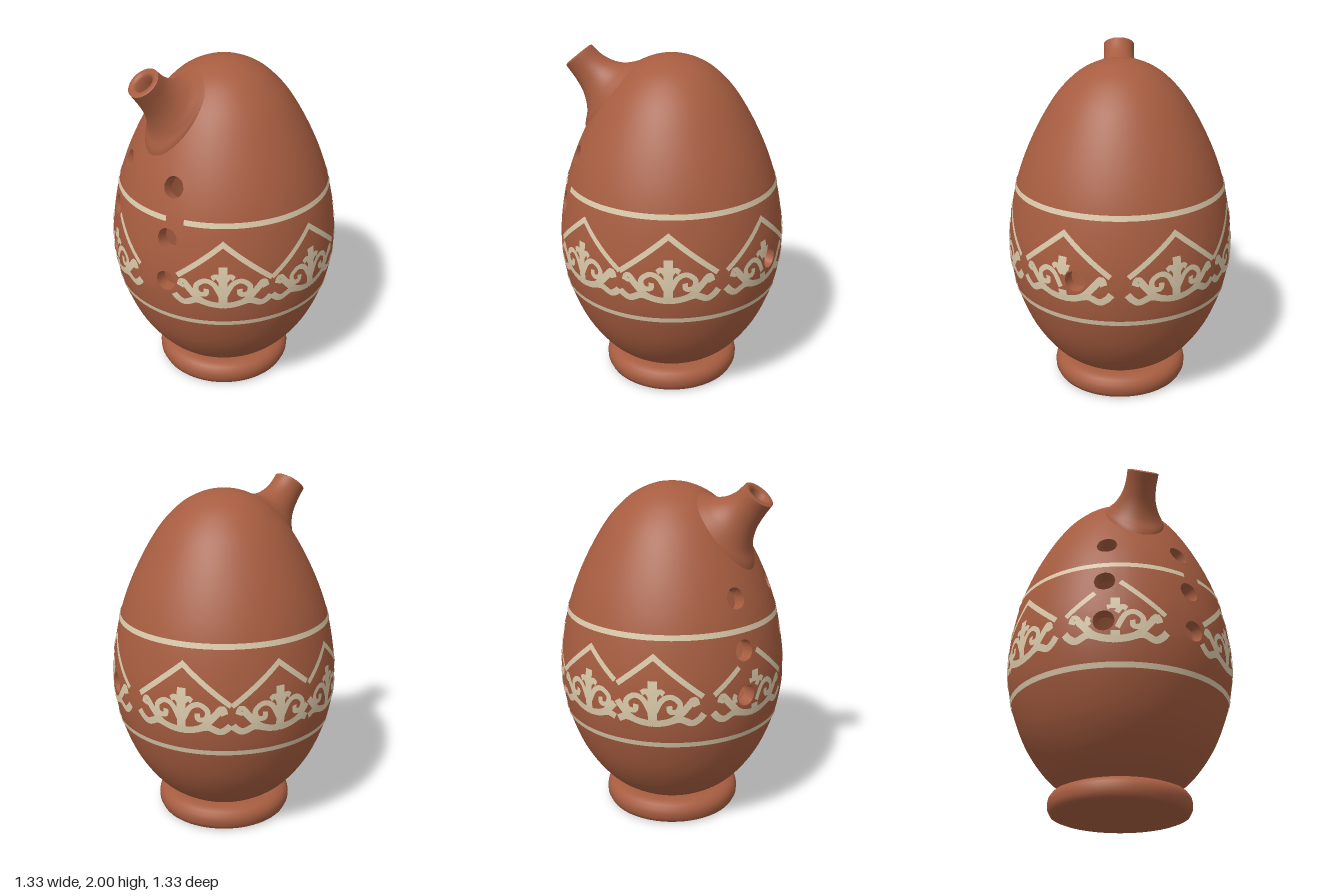
import * as THREE from 'three';

const clay = new THREE.MeshStandardMaterial({ color: 0xa75d40, side: THREE.DoubleSide });
clay.name = 'terracotta clay';
const cream = new THREE.MeshStandardMaterial({ color: 0xdccbab, side: THREE.DoubleSide });
cream.name = 'cream paint';

const COLS = 144, ROWS = 80, STEP = (2 * Math.PI) / COLS, WALL = 0.07, HOLE_R = 0.06;

// Egg outline as (radius, height), bottom to top
const outline = new THREE.SplineCurve([
  [0, 0.05], [0.15, 0.07], [0.29, 0.13], [0.42, 0.23], [0.54, 0.4], [0.62, 0.6], [0.653, 0.76],
  [0.66, 0.88], [0.65, 1.03], [0.61, 1.24], [0.55, 1.42], [0.465, 1.6], [0.37, 1.755],
  [0.28, 1.855], [0.2, 1.915], [0.1, 1.957], [0, 1.97],
].map(([r, y]) => new THREE.Vector2(r, y)));
const ROW_H = outline.getLength() / ROWS;

// Point on the egg at a fractional column and row, moved inward by inset
function eggPoint(col, row, inset = 0) {
  const t = THREE.MathUtils.clamp(row / ROWS, 0, 1);
  const p = outline.getPointAt(t), d = outline.getTangentAt(t);
  const r = Math.max(0, p.x - d.y * inset), a = col * STEP;
  return new THREE.Vector3(r * Math.cos(a), p.y + d.x * inset, r * Math.sin(a));
}

function rowAt(y) {
  let lo = 0, hi = 1;
  for (let k = 0; k < 22; k++) {
    const mid = (lo + hi) / 2;
    if (outline.getPointAt(mid).y < y) lo = mid; else hi = mid;
  }
  return lo * ROWS;
}

// Finger holes: two columns of three beside the mouthpiece, one on the far side
const holes = [[9, 0.87]];
for (const col of [63, 81]) for (const y of [0.87, 1.15, 1.42]) holes.push([col, y]);
const holeCells = holes.map(([col, y]) => {
  const row = Math.round(rowAt(y)), p = outline.getPointAt(row / ROWS);
  return { col, row, y: p.y, r: p.x, w: p.x * STEP };
});

// Grid vertices near a hole slide onto its round rim
function warp(i, j) {
  for (const h of holeCells) {
    const di = i - h.col, dj = j - h.row, k = Math.max(Math.abs(di), Math.abs(dj));
    if (k < 2 || k > 3) continue;
    const f = (4 - k) / 2, s = HOLE_R / Math.hypot(di * h.w, dj * ROW_H);
    const m = 1 + (s - 1) * f;
    return [h.col + di * m, h.row + dj * m];
  }
  return [i, j];
}
const isSolid = (i, j) => !holeCells.some(h =>
  i >= h.col - 2 && i < h.col + 2 && j >= h.row - 2 && j < h.row + 2);

// Closed-loop grid surface from a point rule
function gridGeometry(point, cols, rows, keep = () => true, flip = false) {
  const pos = [], idx = [];
  for (let j = 0; j <= rows; j++) for (let i = 0; i < cols; i++) pos.push(...point(i, j).toArray());
  for (let j = 0; j < rows; j++) for (let i = 0; i < cols; i++) {
    if (!keep(i, j)) continue;
    const n = (i + 1) % cols, a = j * cols + i, b = a + cols, c = j * cols + n, d = c + cols;
    if (flip) idx.push(a, c, b, c, d, b); else idx.push(a, b, c, c, b, d);
  }
  return finish(pos, idx);
}

function finish(pos, idx) {
  const g = new THREE.BufferGeometry();
  g.setAttribute('position', new THREE.Float32BufferAttribute(pos, 3));
  g.setIndex(idx);
  g.computeVertexNormals();
  return g;
}

function add(parent, name, geometry, material) {
  const m = new THREE.Mesh(geometry, material);
  m.name = name;
  parent.add(m);
  return m;
}

// Painted strip laid on the egg; points are (arc from centre, height)
function ribbon(pos, idx, centre, pts, width, range = [-9, 9], samples = 28, straight = false) {
  const v = pts.map(([x, y]) => new THREE.Vector2(x, y));
  const curve = straight ? new THREE.LineCurve(v[0], v[1]) : new THREE.SplineCurve(v);
  let joined = false;
  for (let k = 0; k <= samples; k++) {
    const p = curve.getPoint(k / samples), d = curve.getTangent(k / samples);
    const angle = centre + p.x / 0.65;
    const inHole = holeCells.some(h => {
      const da = Math.atan2(Math.sin(angle - h.col * STEP), Math.cos(angle - h.col * STEP));
      return Math.hypot(da * h.r, p.y - h.y) < HOLE_R + 0.02;
    });
    if (inHole || p.x < range[0] || p.x > range[1]) { joined = false; continue; }
    for (const s of [1, -1]) {
      const x = p.x - d.y * s * width / 2, y = p.y + d.x * s * width / 2;
      pos.push(...eggPoint((centre + x / 0.65) / STEP, rowAt(y), -0.004).toArray());
    }
    const n = pos.length / 3;
    if (joined) idx.push(n - 4, n - 2, n - 3, n - 3, n - 2, n - 1);
    joined = true;
  }
}

// Peaked motif with a central bud and mirrored scrolls
function motif(centre, range) {
  const pos = [], idx = [];
  const draw = (pts, w, n, straight) => ribbon(pos, idx, centre, pts, w, range, n, straight);
  draw([[0, 1.02], [0, 0.76]], 0.05, 8, true);
  for (const s of [1, -1]) {
    const side = (pts, w, n, straight) => draw(pts.map(([x, y]) => [x * s, y]), w, n, straight);
    side([[-0.01, 1.157], [0.27, 0.93]], 0.03, 16, true);
    side([[0, 0.92], [0.035, 0.965], [0.06, 0.95]], 0.03, 8);
    side([[0.01, 0.84], [0.05, 0.915], [0.1, 0.935], [0.145, 0.9], [0.135, 0.855], [0.095, 0.85], [0.09, 0.885]], 0.03);
    side([[0, 0.775], [0.07, 0.785], [0.125, 0.81], [0.18, 0.87], [0.22, 0.915], [0.235, 0.88]], 0.04);
    side([[0.1, 0.795], [0.15, 0.805], [0.21, 0.78], [0.25, 0.8], [0.275, 0.83]], 0.04);
  }
  return finish(pos, idx);
}

function band(y, from, to) {
  const pos = [], idx = [];
  ribbon(pos, idx, 0, [[from * 0.65, y], [to * 0.65, y]], 0.03, undefined, 144, true);
  return finish(pos, idx);
}

export function createModel() {
  const model = new THREE.Group();
  model.name = 'eggWhistle';

  // Hollow egg with pierced finger holes
  const shell = inset => (i, j) => eggPoint(...warp(i, j), inset);
  add(model, 'outerShell', gridGeometry(shell(0), COLS, ROWS, isSolid), clay);
  add(model, 'innerShell', gridGeometry(shell(WALL), COLS, ROWS, isSolid, true), clay);
  const rim = [];
  for (let k = -2; k < 2; k++) rim.push([k, -2]);
  for (let k = -2; k < 2; k++) rim.push([2, k]);
  for (let k = 2; k > -2; k--) rim.push([k, 2]);
  for (let k = 2; k > -2; k--) rim.push([-2, k]);
  for (const h of holeCells) {
    const wall = (i, j) => eggPoint(...warp(h.col + rim[i][0], h.row + rim[i][1]), j * WALL);
    add(model, 'fingerHoleWall', gridGeometry(wall, rim.length, 1), clay);
  }

  // Foot ring
  const foot = [[0, 0], [0.36, 0], [0.37, 0], [0.39, 0.008], [0.403, 0.035], [0.405, 0.065],
    [0.4, 0.09], [0.382, 0.115], [0.35, 0.128], [0.32, 0.132], [0.2, 0.132]];
  add(model, 'foot', new THREE.LatheGeometry(foot.map(p => new THREE.Vector2(...p)), 72), clay);

  // Mouthpiece: lower edge, upper edge and half width of each section, base to tip
  const sections = [
    [-0.5, 1.48, -0.08, 1.94, 0.18], [-0.503, 1.55, -0.13, 1.943, 0.182], [-0.49, 1.62, -0.2, 1.918, 0.16],
    [-0.495, 1.68, -0.27, 1.905, 0.13], [-0.515, 1.745, -0.34, 1.917, 0.104],
    [-0.555, 1.815, -0.405, 1.95, 0.092], [-0.605, 1.885, -0.46, 2.0, 0.093],
  ];
  const lower = new THREE.CatmullRomCurve3(sections.map(s => new THREE.Vector3(s[0], s[1], s[4])));
  const upper = new THREE.CatmullRomCurve3(sections.map(s => new THREE.Vector3(s[2], s[3], 0)));
  const spout = (i, j) => {
    const a = (i / 40) * 2 * Math.PI, l = lower.getPoint(j / 30), u = upper.getPoint(j / 30);
    const c = Math.cos(a) / 2;
    return new THREE.Vector3((l.x + u.x) / 2 + (u.x - l.x) * c, (l.y + u.y) / 2 + (u.y - l.y) * c, l.z * Math.sin(a));
  };
  add(model, 'mouthpiece', gridGeometry(spout, 40, 30), clay);
  const bore = [[0.093, 0], [0.08, 0.005], [0.062, 0.003], [0.05, -0.012], [0.042, -0.05], [0.036, -0.17], [0, -0.17]];
  const mouth = add(model, 'mouthpieceBore', new THREE.LatheGeometry(bore.map(p => new THREE.Vector2(...p)), 40), clay);
  mouth.position.set(-0.5325, 1.9425, 0);
  mouth.rotation.z = Math.atan2(0.62, 0.78);

  // Painted bands, the upper one with a small gap
  const rad = THREE.MathUtils.degToRad;
  add(model, 'lowerBand', band(0.64, 0, 2 * Math.PI), cream);
  add(model, 'upperBand', band(1.25, rad(-201), rad(149)), cream);

  // Painted motifs: bearing in degrees and the arc each one covers
  const motifs = [[29, -0.3, 0.3], [81.5, -0.3, 0.27], [129, -0.27, 0.3], [197, -0.3, 0.3],
    [250, -0.3, 0.2], [285, -0.19, 0.27], [333, -0.27, 0.3]];
  for (const [deg, lo, hi] of motifs) add(model, 'paintedMotif', motif(rad(deg), [lo, hi]), cream);
  return model;
}
